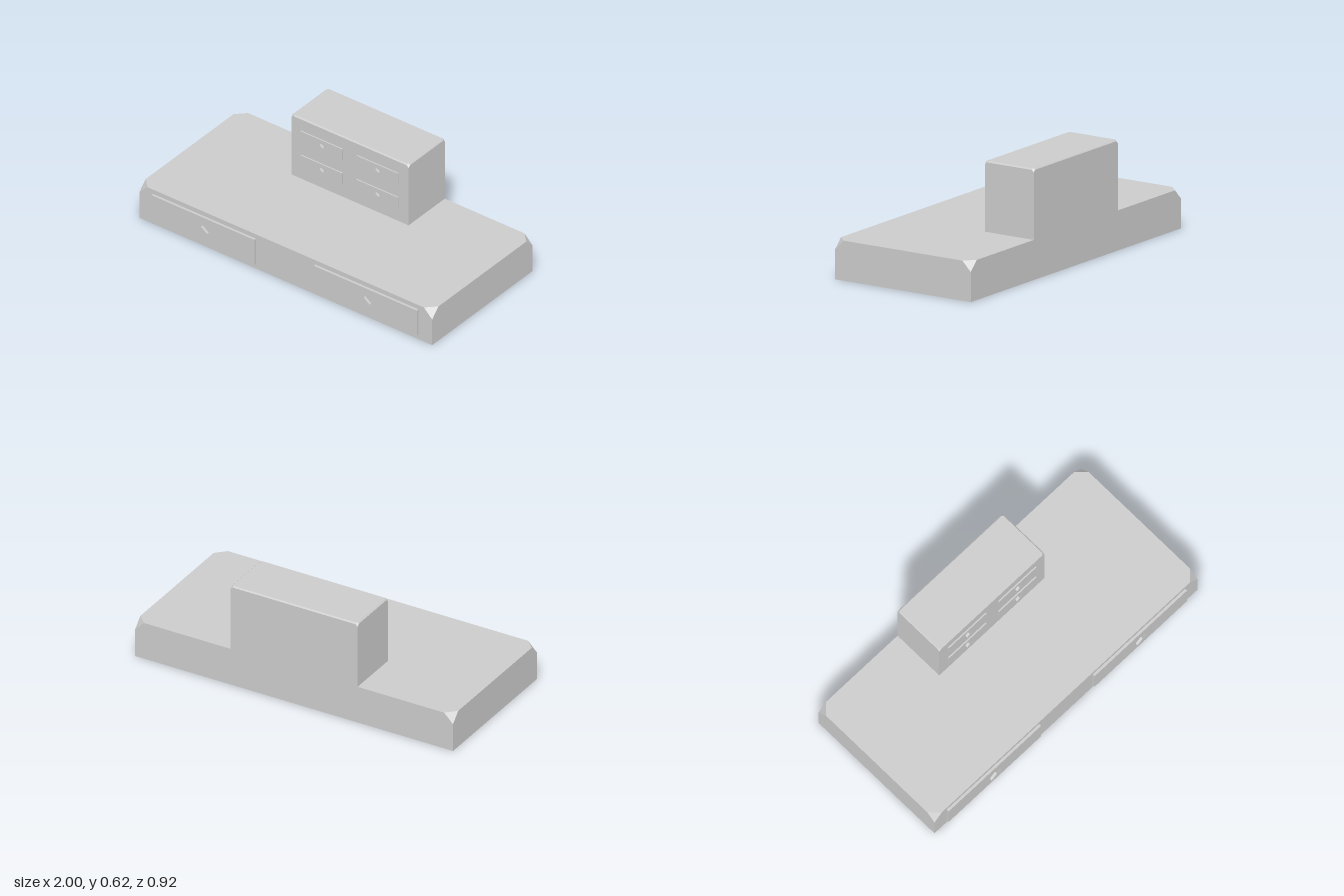
import * as THREE from 'three';
import { ConvexGeometry } from 'three/addons/geometries/ConvexGeometry.js';

const material = new THREE.MeshStandardMaterial({ color: 0xcccccc, flatShading: true });

// Box with each top corner sliced off by `cut` and the top edges chamfered by `edge`
function cutCornerBox(halfX, y0, y1, z0, z1, cut, edge) {
  const points = [];
  for (const sx of [-1, 1]) {
    for (const sz of [-1, 1]) {
      const add = (dx, dy, dz) => points.push(
        new THREE.Vector3(sx * (halfX - dx), y1 - dy, (sz > 0 ? z1 : z0) - sz * dz));
      add(0, y1 - y0, 0);
      add(0, cut, 0);
      add(edge, 0, cut - edge);
      add(cut - edge, 0, edge);
      if (edge > 0) {
        add(0, edge, cut - edge);
        add(cut - edge, edge, 0);
      }
    }
  }
  return new ConvexGeometry(points);
}

function addMesh(parent, name, geometry, x = 0, y = 0, z = 0) {
  const mesh = new THREE.Mesh(geometry, material);
  mesh.name = name;
  mesh.position.set(x, y, z);
  parent.add(mesh);
  return mesh;
}

// Raised drawer front with a diamond-shaped knob; z is the cabinet face
function addDrawer(parent, name, { x, y, z, w, h, depth, knobW, knobH, knobDepth, knobY = 0 }) {
  const drawer = new THREE.Group();
  drawer.name = name;
  drawer.position.set(x, y, z);
  addMesh(drawer, 'drawerFront', new THREE.BoxGeometry(w, h, depth), 0, 0, depth / 2);
  const diamond = new THREE.CylinderGeometry(1, 1, 1, 4).rotateX(Math.PI / 2);
  diamond.scale(knobW / 2, knobH / 2, knobDepth);
  addMesh(drawer, 'knob', diamond, 0, knobY, depth + knobDepth / 2);
  parent.add(drawer);
}

export function createModel() {
  const model = new THREE.Group();
  model.name = 'drawerUnit';

  // Wide low base and the upright cabinet flush with its back
  addMesh(model, 'base', cutCornerBox(1, 0, 0.224, -0.462, 0.432, 0.056, 0));
  addMesh(model, 'upperCabinet', cutCornerBox(0.4, 0.224, 0.62, -0.462, -0.14, 0.02, 0.007));

  for (const side of [-1, 1]) {
    const label = side > 0 ? 'left' : 'right';

    // Large drawer in the base
    addDrawer(model, `${label}BaseDrawer`, {
      x: side * 0.555, y: 0.113, z: 0.432, w: 0.704, h: 0.166, depth: 0.015,
      knobW: 0.08, knobH: 0.062, knobDepth: 0.015,
    });

    // Two small drawers stacked in the cabinet
    [0.344, 0.502].forEach((y, row) => addDrawer(model, `${label}${row ? 'Upper' : 'Lower'}Drawer`, {
      x: side * 0.19, y, z: -0.14, w: 0.285, h: 0.077, depth: 0.008,
      knobW: 0.04, knobH: 0.032, knobDepth: 0.015,
    }));
  }
  return model;
}
